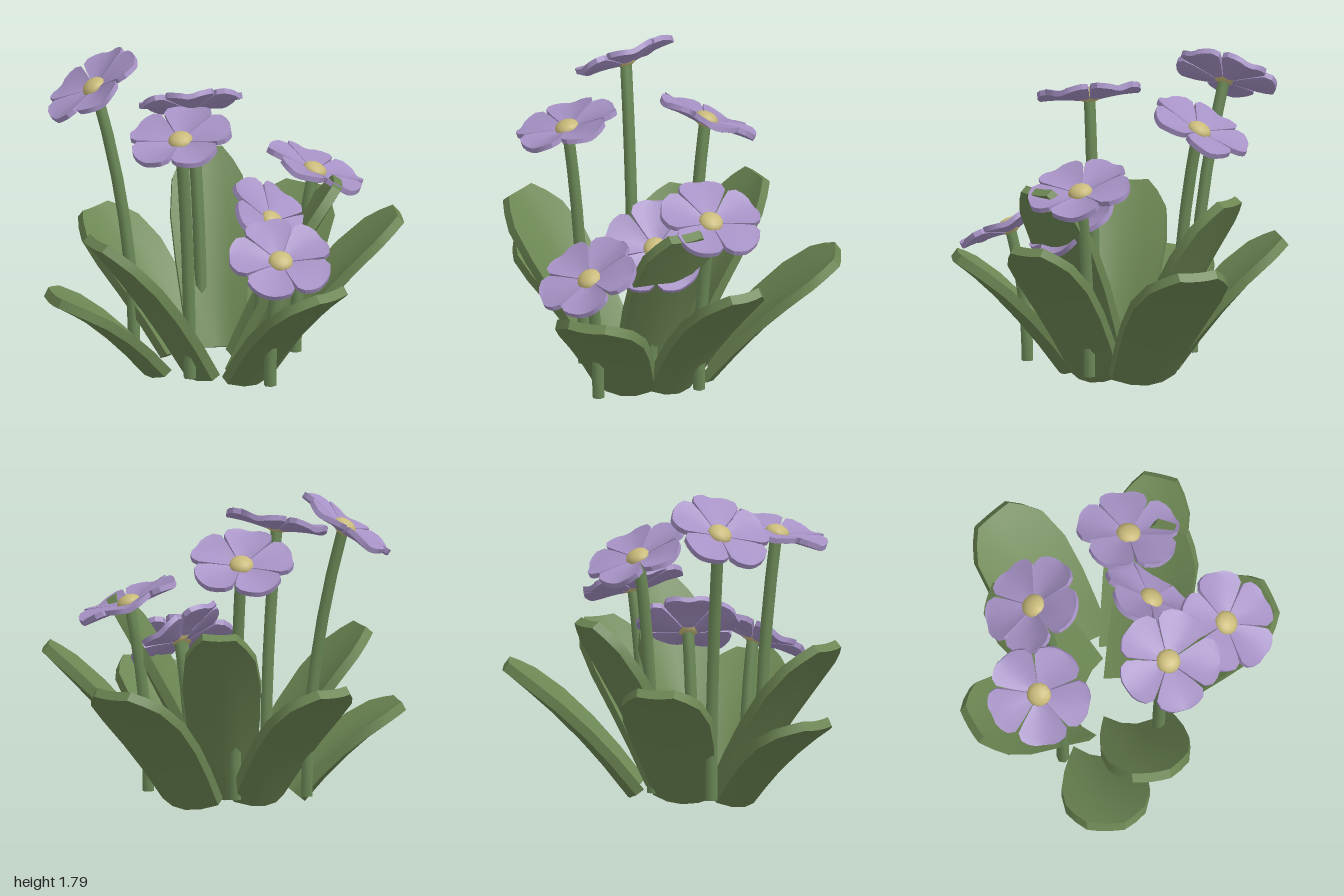
import * as THREE from 'three';
import { toCreasedNormals } from 'three/addons/utils/BufferGeometryUtils.js';

const V = (x, y, z) => new THREE.Vector3(x, y, z);

// Skin a list of closed rings (even point count) and close both ends
function loft(rings, crease) {
  const n = rings[0].length, last = (rings.length - 1) * n, idx = [];
  for (let r = 0; r < rings.length - 1; r++) {
    for (let i = 0; i < n; i++) {
      const a = r * n + i, b = r * n + (i + 1) % n;
      idx.push(a, b, a + n, b, b + n, a + n);
    }
  }
  for (let i = 0; i < n / 2 - 1; i++) {
    const q = [i, i + 1, n - 2 - i, n - 1 - i];
    idx.push(q[0], q[2], q[1], q[0], q[3], q[2]);
    idx.push(last + q[0], last + q[1], last + q[2], last + q[0], last + q[2], last + q[3]);
  }
  const g = new THREE.BufferGeometry().setFromPoints(rings.flat());
  g.setIndex(idx);
  return toCreasedNormals(g, crease);
}

// Cross-section of a cupped blade: top row left to right, then the underside back
function bladeRing(p, s, n, half, cup, thick) {
  const us = [-1, -0.5, 0, 0.5, 1];
  const row = (list, drop) => list.map((u) =>
    p.clone().addScaledVector(s, u * half).addScaledVector(n, cup * u * u - drop));
  return [...row(us, 0), ...row([...us].reverse(), thick)];
}

// Broad blunt leaf arching from base to tip, folded at the base and flat at the tip
function leafGeometry(base, tip, width) {
  const mid = base.clone().lerp(tip, 0.5).add(V(0, 0.1, 0));
  const curve = new THREE.QuadraticBezierCurve3(base, mid, tip);
  const outline = [[0, 0.16], [0.2, 0.185], [0.4, 0.208], [0.62, 0.222], [0.82, 0.2], [0.92, 0.15], [1, 0.095]];
  return loft(outline.map(([t, w]) => {
    const T = curve.getTangent(t);
    const S = T.clone().cross(V(0, 1, 0)).normalize();
    const N = S.clone().cross(T);
    return bladeRing(curve.getPoint(t), S, N, w * width, w * (0.4 - 0.3 * t), 0.055);
  }), 0.6);
}

// Rounded, cupped petal lying along +x and rising outwards
function petalGeometry() {
  const outline = [[0.03, 0.02], [0.08, 0.055], [0.14, 0.097], [0.2, 0.134], [0.245, 0.124], [0.272, 0.088], [0.286, 0.05]];
  return loft(outline.map(([r, w]) =>
    bladeRing(V(r, 0.03 * Math.sin(r * 6) - 0.024, 0), V(0, 0, 1), V(0, 1, 0), w, w * 0.2, 0.03)), 0.6);
}

// Smooth six-sided stem bending towards the flower
function stemGeometry(base, top) {
  const curve = new THREE.QuadraticBezierCurve3(base, V(base.x, (base.y + top.y) / 2, base.z), top);
  return loft(curve.getPoints(6).map((p) => Array.from({ length: 6 }, (_, i) => {
    const a = (i + 0.5) * Math.PI / 3;
    return p.clone().add(V(0.036 * Math.cos(a), 0, -0.036 * Math.sin(a)));
  })), 1.2);
}

export function createModel() {
  const model = new THREE.Group();
  model.name = 'floweringPlant';
  const material = (name, color) => {
    const m = new THREE.MeshStandardMaterial({ color });
    m.name = name;
    return m;
  };
  const leafGreen = material('leafGreen', 0x6c8653);
  const stemGreen = material('stemGreen', 0x6c8a58);
  const petalPurple = material('petalPurple', 0xa692c5);
  const centreYellow = material('centreYellow', 0xcabb7b);
  const add = (parent, name, geometry, mat) => {
    const mesh = new THREE.Mesh(geometry, mat);
    mesh.name = name;
    parent.add(mesh);
    return mesh;
  };

  // Leaves: base, tip, width factor
  const leaves = [
    [[0.2, 0.04, -0.24], [0.64, 0.765, -0.79], 1.2],
    [[0.26, 0.04, 0.04], [0.97, 0.885, 0.09], 1],
    [[0.11, 0.04, 0.28], [0.45, 0.7, 0.785], 1.12],
    [[-0.18, 0.05, 0.16], [-0.77, 0.935, 0.34], 1.12],
    [[-0.4, 0.04, 0.02], [-0.97, 0.55, 0.12], 1.1],
    [[-0.19, 0.05, -0.2], [-0.575, 0.75, -0.69], 1.12],
    [[0, 0.07, -0.16], [0.05, 1.06, -0.68], 0.98],
    [[0.06, 0.06, 0.1], [0.59, 1.14, 0.22], 0.98],
  ];
  for (const [base, tip, width] of leaves) {
    add(model, 'leaf', leafGeometry(V(...base), V(...tip), width), leafGreen);
  }

  // Flowers: stem base, centre, facing direction, petal turn in degrees
  const flowers = [
    [[-0.45, 0.07, -0.21], [-0.665, 1.61, -0.31], [-0.57, 0.82, 0], 21],
    [[-0.05, 0.07, -0.31], [-0.08, 1.42, -0.445], [0, 0.87, -0.47], 30],
    [[-0.24, 0.07, 0.29], [-0.31, 1.51, 0.36], [-0.19, 0.95, 0.2], 8],
    [[0.42, 0.07, -0.01], [0.535, 1.14, -0.01], [0.39, 0.92, 0.02], -18],
    [[0.17, 0.07, 0.5], [0.21, 0.84, 0.6], [0, 0.87, 0.48], -28],
    [[0.18, 0.07, 0.14], [0.26, 0.92, 0.17], [0.5, 0.72, 0.35], 0],
  ];
  const petal = petalGeometry();
  const dome = new THREE.SphereGeometry(0.07, 12, 8).scale(1, 0.65, 1);
  for (const [base, at, facing, turn] of flowers) {
    const flower = new THREE.Group();
    flower.name = 'flower';
    const up = V(...facing).normalize();
    const stemTop = V(...at).addScaledVector(up, -0.03);
    add(model, 'stem', stemGeometry(V(...base), stemTop), stemGreen);
    for (let i = 0; i < 5; i++) {
      add(flower, 'petal', petal, petalPurple).rotation.y = -THREE.MathUtils.degToRad(turn + i * 72);
    }
    add(flower, 'flowerCentre', dome, centreYellow).position.y = -0.014;
    flower.position.set(...at);
    flower.quaternion.setFromUnitVectors(V(0, 1, 0), up);
    model.add(flower);
  }
  return model;
}
